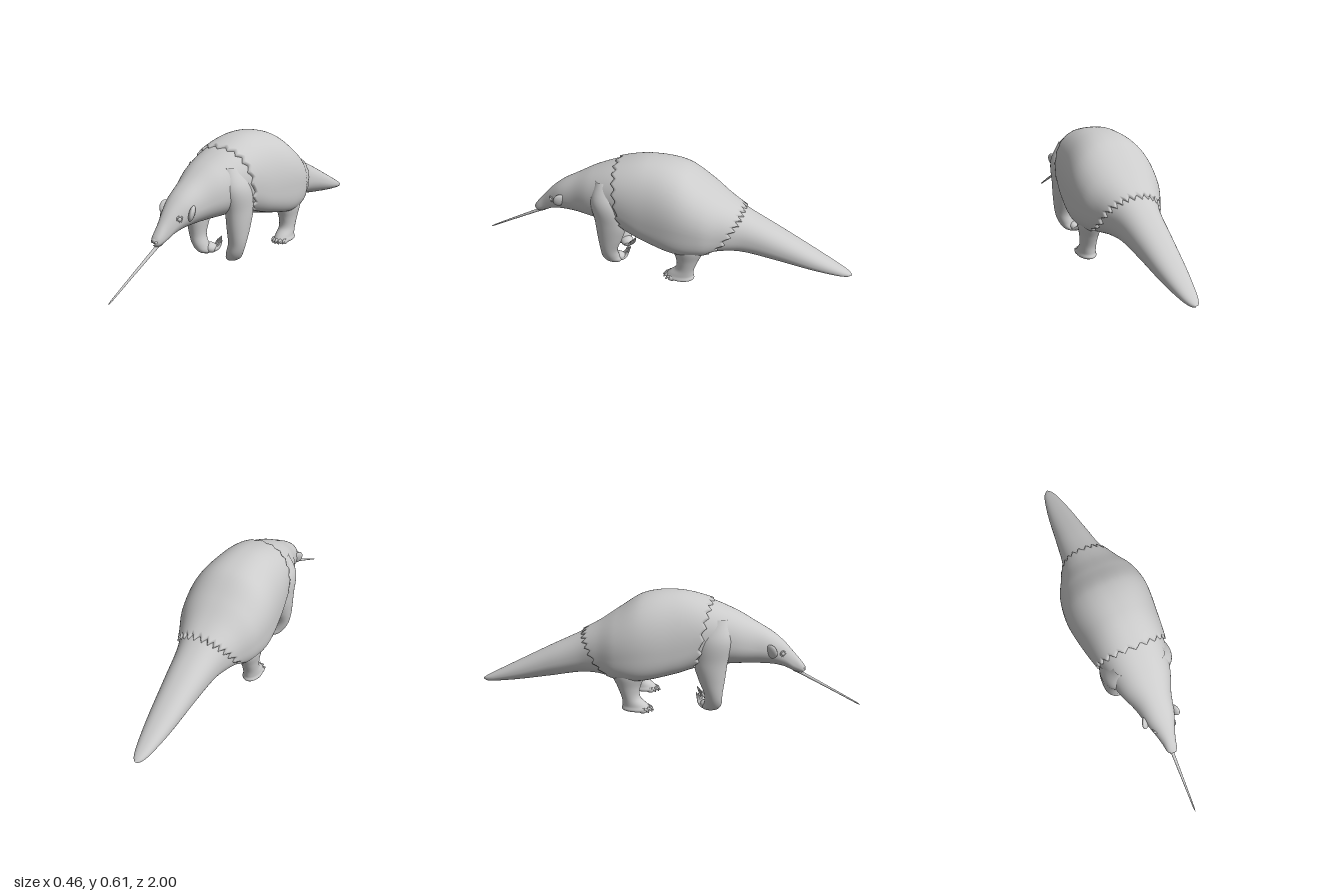
import * as THREE from 'three';

const grey = new THREE.MeshStandardMaterial({ color: 0xcccccc });
const greyThin = new THREE.MeshStandardMaterial({ color: 0xcccccc, side: THREE.DoubleSide });

function add(parent, name, geometry, material = grey) {
  const mesh = new THREE.Mesh(geometry, material);
  mesh.name = name;
  parent.add(mesh);
  return mesh;
}

// Smooth surface from f(u, v) -> [x, y, z]; u may wrap around
function surface(f, nu, nv, wrap = true) {
  const pos = [], idx = [], cols = wrap ? nu : nu + 1;
  for (let j = 0; j <= nv; j++)
    for (let i = 0; i < cols; i++) pos.push(...f(i / nu, j / nv, j));
  for (let j = 0; j < nv; j++)
    for (let i = 0; i < nu; i++) {
      const a = j * cols + i, b = j * cols + (i + 1) % cols;
      idx.push(a, b, a + cols, b, b + cols, a + cols);
    }
  const g = new THREE.BufferGeometry();
  g.setAttribute('position', new THREE.Float32BufferAttribute(pos, 3));
  g.setIndex(idx);
  g.computeVertexNormals();
  return g;
}

// Cubic interpolation through rows keyed by their first number (descending)
function sample(rows, key) {
  const last = rows.length - 1;
  let i = 0;
  while (i < last - 1 && key < rows[i + 1][0]) i++;
  const slope = (k, c) => {
    const a = rows[Math.max(k - 1, 0)], b = rows[Math.min(k + 1, last)];
    return (b[c] - a[c]) / (b[0] - a[0]);
  };
  const p = rows[i], q = rows[i + 1], h = q[0] - p[0];
  const t = (key - p[0]) / h, t2 = t * t, t3 = t2 * t;
  return p.map((_, c) => (2 * t3 - 3 * t2 + 1) * p[c] + (t3 - 2 * t2 + t) * h * slope(i, c)
    + (3 * t2 - 2 * t3) * q[c] + (t3 - t2) * h * slope(i + 1, c));
}

// Body cross-sections: z, bottom, top, half width, height of widest point, squareness below
const BODY = [
  [0.71, 0.216, 0.232, 0.01, 0.224, 2], [0.695, 0.203, 0.255, 0.025, 0.227, 2],
  [0.65, 0.213, 0.307, 0.036, 0.25, 2], [0.6, 0.235, 0.362, 0.053, 0.29, 2],
  [0.54, 0.247, 0.412, 0.075, 0.325, 2], [0.45, 0.25, 0.465, 0.1, 0.345, 2],
  [0.35, 0.25, 0.52, 0.14, 0.37, 2.2], [0.2, 0.24, 0.578, 0.174, 0.385, 2.5],
  [0.05, 0.205, 0.607, 0.2, 0.34, 3], [-0.12, 0.17, 0.587, 0.218, 0.33, 3.6],
  [-0.25, 0.17, 0.508, 0.2, 0.31, 3.2], [-0.35, 0.178, 0.44, 0.155, 0.29, 2.6],
  [-0.45, 0.172, 0.385, 0.117, 0.268, 2.3], [-0.61, 0.141, 0.308, 0.092, 0.22, 2],
  [-0.8, 0.11, 0.212, 0.066, 0.157, 2], [-0.93, 0.094, 0.146, 0.04, 0.118, 2],
  [-0.98, 0.092, 0.12, 0.022, 0.106, 2], [-1, 0.1, 0.106, 0.004, 0.103, 2],
];

function bodyPoint(z, a, grow = 0) {
  const [, yb, yt, w, yw, nb] = sample(BODY, z);
  const s = Math.sin(a), c = Math.cos(a), n = c > 0 ? 2.25 : nb;
  const px = Math.sign(s) * Math.abs(s) ** (2 / n), py = Math.abs(c) ** (2 / n);
  return [(w + grow) * px, yw + (c > 0 ? (yt - yw + grow) * py : -(yw - yb + grow) * py), z];
}

// Limb from horizontal rings: height, x, z, radius across, radius along
function limb(rows, side) {
  const top = rows[0][0], low = rows[rows.length - 1][0];
  return surface((u, v) => {
    const y = top + (low - top) * Math.sin(v * Math.PI / 2);
    const [, x, z, rx, rz] = sample(rows, y), t = u * Math.PI * 2;
    return [side * x + rx * Math.cos(t), y, z + rz * Math.sin(t)];
  }, 32, 40);
}

// Tapering round strand through a few points
function strand(points, r0, r1, sides = 10, n = 14) {
  const curve = new THREE.CatmullRomCurve3(points.map(p => new THREE.Vector3(...p)));
  const { normals, binormals } = curve.computeFrenetFrames(n);
  return surface((u, v, j) => {
    const r = j === 0 || j === n ? 0.0004 : r0 + (r1 - r0) * v, t = u * Math.PI * 2;
    return curve.getPointAt(v).addScaledVector(normals[j], r * Math.cos(t))
      .addScaledVector(binormals[j], r * Math.sin(t)).toArray();
  }, sides, n);
}

function blob(parent, name, at, size, rot = [0, 0, 0]) {
  const m = add(parent, name, new THREE.SphereGeometry(1, 24, 16));
  m.position.set(...at);
  m.scale.set(...size);
  m.rotation.set(...rot);
  return m;
}

const ARM = [
  [0.5, 0.1, 0.27, 0.03, 0.04], [0.4, 0.122, 0.25, 0.06, 0.085],
  [0.28, 0.125, 0.23, 0.059, 0.085], [0.19, 0.126, 0.237, 0.053, 0.067],
  [0.11, 0.124, 0.247, 0.044, 0.046], [0.055, 0.107, 0.245, 0.041, 0.045],
  [0.02, 0.09, 0.232, 0.031, 0.04], [0.004, 0.08, 0.225, 0.004, 0.006],
];
const LEG = [
  [0.34, 0.11, -0.19, 0.06, 0.08], [0.22, 0.138, -0.185, 0.062, 0.088],
  [0.14, 0.145, -0.182, 0.046, 0.058], [0.085, 0.146, -0.172, 0.041, 0.048],
  [0.045, 0.146, -0.15, 0.043, 0.066], [0.02, 0.146, -0.145, 0.044, 0.07],
  [0.01, 0.146, -0.145, 0.004, 0.01],
];

export function createModel() {
  const model = new THREE.Group();

  // Head, trunk and tail in one skin
  add(model, 'body', surface((u, v) =>
    bodyPoint(0.71 - 1.71 * (1 - Math.cos(v * Math.PI)) / 2, u * Math.PI * 2), 64, 130));

  // Raised back shell with toothed front and rear edges
  const tooth = k => Math.abs(((k % 1) + 1) % 1 - 0.5) * 2;
  const NV = 44;
  add(model, 'backShell', surface((u, v, j) => {
    const s = u * 2 - 1, m = Math.abs(s);
    const front = 0.215 - 0.075 * m ** 1.5 + 0.022 * tooth(s * 8);
    const rear = -0.445 + 0.17 * m ** 2.5 + 0.026 * tooth(s * 9);
    const t = THREE.MathUtils.clamp((j - 1) / (NV - 2), 0, 1);
    const rim = j === 0 || j === NV || m > 0.999;
    return bodyPoint(front + (rear - front) * t, s * 2.36, rim ? -0.004 : 0.01);
  }, 144, NV, false), greyThin);

  // Muzzle and long tongue
  blob(model, 'nose', [0, 0.231, 0.692], [0.021, 0.015, 0.018]);
  blob(model, 'lowerLip', [0, 0.21, 0.672], [0.018, 0.009, 0.026], [0.2, 0, 0]);
  add(model, 'tongue', strand([[0, 0.215, 0.66], [0, 0.126, 0.83], [0, 0.035, 1]], 0.009, 0.0035, 12, 24));

  for (const side of [1, -1]) {
    const prefix = side > 0 ? 'left' : 'right';

    // Face
    const face = new THREE.Group();
    face.name = prefix + 'Face';
    model.add(face);
    blob(face, 'nostril', [side * 0.011, 0.228, 0.702], [0.008, 0.007, 0.008]);
    blob(face, 'eye', [side * 0.052, 0.315, 0.588], [0.01, 0.012, 0.012]);
    const lid = add(face, 'eyelid', new THREE.TorusGeometry(0.013, 0.004, 8, 20));
    lid.position.set(side * 0.054, 0.315, 0.589);
    lid.rotation.y = side * 1.1;
    blob(face, 'ear', [side * 0.079, 0.332, 0.532], [0.014, 0.038, 0.032], [-0.2, side * 0.55, side * -0.15]);
    blob(face, 'earLobe', [side * 0.086, 0.328, 0.54], [0.009, 0.025, 0.016], [-0.2, side * 0.6, side * -0.2]);

    // Front leg with the paw curled back and inward
    const front = new THREE.Group();
    front.name = prefix + 'FrontLeg';
    model.add(front);
    add(front, 'frontLimb', limb(ARM, side));
    blob(front, 'frontPaw', [side * 0.072, 0.034, 0.212], [0.033, 0.026, 0.036], [0, 0, side * 0.3]);
    for (let i = 0; i < 5; i++) {
      const k = i - 2, long = 1 - Math.abs(k) * 0.16;
      const x = 0.062 + k * 0.009, z = 0.195 - k * 0.004;
      add(front, 'frontClaw', strand([
        [side * (x + 0.008), 0.025, z + 0.012],
        [side * (x - 0.008), 0.028 + 0.01 * long, z - 0.018 * long],
        [side * (x - 0.02), 0.04 + 0.046 * long, z - 0.042 * long],
      ], 0.0125, 0.0025));
    }

    // Hind leg with stubby toes
    const hind = new THREE.Group();
    hind.name = prefix + 'HindLeg';
    model.add(hind);
    add(hind, 'hindLimb', limb(LEG, side));
    for (let i = 0; i < 5; i++) {
      const k = i - 2, x = side * (0.146 + k * 0.017), z = -0.088 - k * k * 0.005;
      blob(hind, 'toe', [x, 0.025, z], [0.01, 0.014, 0.02]);
      add(hind, 'hindClaw', strand([[x, 0.032, z + 0.006], [x, 0.031, z + 0.02], [x, 0.016, z + 0.031]], 0.0085, 0.003));
    }
  }
  return model;
}
